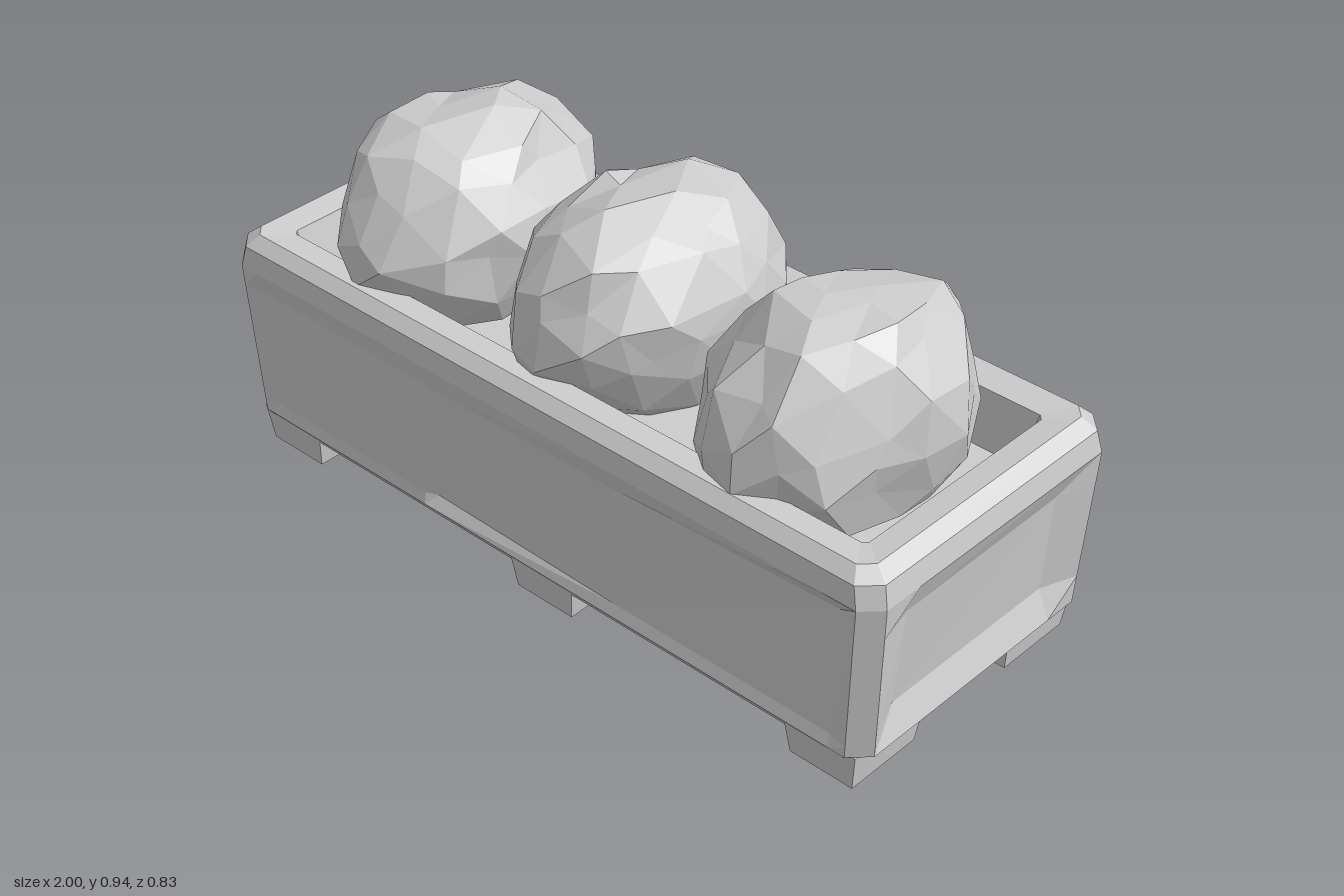
import * as THREE from 'three';

const stone = new THREE.MeshStandardMaterial({ color: 0xcccccc, flatShading: true });
stone.name = 'pale grey';

// Collects quads and triangles into one flat-shaded geometry
function faceBuilder() {
  const pos = [];
  const tri = (a, b, c) => pos.push(...a, ...b, ...c);
  return {
    tri,
    quad(a, b, c, d) { tri(a, b, c); tri(a, c, d); },
    geometry() {
      const g = new THREE.BufferGeometry();
      g.setAttribute('position', new THREE.Float32BufferAttribute(pos, 3));
      g.computeVertexNormals();
      return g;
    },
  };
}

// Point on side k (0 = +x, 1 = -z, 2 = -x, 3 = +z): distance out, offset along, height
function sidePoint(k, out, u, y) {
  const o = [[1, 0], [0, -1], [-1, 0], [0, 1]][k];
  const t = [[0, -1], [-1, 0], [0, 1], [1, 0]][k];
  return [o[0] * out + t[0] * u, y, o[1] * out + t[1] * u];
}

// Rectangle with cut corners
function ring([y, hx, hz, cut]) {
  const pts = [];
  for (let k = 0; k < 4; k++) {
    const [out, along] = k % 2 ? [hz, hx] : [hx, hz];
    pts.push(sidePoint(k, out, -(along - cut), y), sidePoint(k, out, along - cut, y));
  }
  return pts;
}

// Trough: underside, walls, rim, inner walls and soil
const LOW = [0.1, 0.975, 0.397, 0.045], HIGH = [0.52, 0.998, 0.415, 0.045];

function troughGeometry() {
  const f = faceBuilder();
  const rings = [
    [0.068, 0.93, 0.375, 0.03], LOW, HIGH, [0.575, 0.985, 0.408, 0.045],
    [0.603, 0.95, 0.378, 0.03], [0.592, 0.885, 0.305, 0.012], [0.45, 0.845, 0.285, 0.01],
  ].map(ring);
  for (let r = 0; r < rings.length - 1; r++) {
    const a = rings[r], b = rings[r + 1];
    for (let i = 0; i < 8; i++) {
      if (r === 1 && i % 2 === 0) continue; // recessed panels go here
      const j = (i + 1) % 8;
      f.quad(a[i], a[j], b[j], b[i]);
    }
  }
  const bottom = rings[0], soil = rings[rings.length - 1];
  for (let i = 1; i < 7; i++) {
    f.tri(bottom[0], bottom[i + 1], bottom[i]);
    f.tri(soil[0], soil[i], soil[i + 1]);
  }

  // Worn panels: columns are [offset, depth at bottom, depth at top]
  const end = { y: [0.175, 0.44], cols: [[-0.26, 0.035, 0.025], [0.26, 0.035, 0.03]] };
  const front = {
    y: [0.13, 0.46],
    cols: [[-0.9, 0.008, 0.012], [-0.36, 0.008, 0.01], [-0.33, 0.022, 0.01],
      [0.25, 0.012, 0.018], [0.88, 0.012, 0.04]],
  };
  const back = {
    y: [0.15, 0.46],
    cols: [[-0.85, 0.02, 0.012], [-0.45, 0.032, 0.012], [-0.42, 0.012, 0.03],
      [0.1, 0.012, 0.03], [0.2, 0.03, 0.035], [0.88, 0.012, 0.03]],
  };
  [end, back, end, front].forEach((panel, k) => {
    const rows = [LOW[0], ...panel.y, HIGH[0]].map((y, r) => {
      const s = (y - LOW[0]) / (HIGH[0] - LOW[0]);
      const [hx, hz] = [1, 2].map((n) => LOW[n] + (HIGH[n] - LOW[n]) * s);
      const [out, along] = k % 2 ? [hz, hx] : [hx, hz];
      const edge = along - LOW[3];
      return [[-edge, 0, 0], ...panel.cols, [edge, 0, 0]].map(([u, d0, d1], c) => {
        const depth = r === 1 ? d0 : r === 2 ? d1 : 0;
        return sidePoint(k, out - depth, u, y);
      });
    });
    // outer rows are single spans, fanned onto the panel columns
    for (let c = 0; c < rows[0].length - 1; c++) {
      for (let r = 0; r < 3; r++) {
        f.quad(rows[r][c], rows[r][c + 1], rows[r + 1][c + 1], rows[r + 1][c]);
      }
    }
  });
  return f.geometry();
}

// Foot: block that narrows towards the ground
function footGeometry(width, depth) {
  const g = new THREE.BoxGeometry(width, 0.1, depth);
  g.translate(0, 0.05, 0);
  const p = g.attributes.position;
  for (let i = 0; i < p.count; i++) {
    if (p.getY(i) < 0.01) p.setXYZ(i, p.getX(i) * 0.87, 0, p.getZ(i) * 0.9);
  }
  return g;
}

// Repeatable noise from a position, 0 to 1
function hash(x, y, z, seed) {
  const s = Math.sin(x * 127.1 + y * 311.7 + z * 74.7 + seed * 53.3) * 43758.5453;
  return s - Math.floor(s);
}

// Bush: faceted ball with jittered vertices
function bushGeometry(seed) {
  const g = new THREE.IcosahedronGeometry(1, 2);
  const p = g.attributes.position;
  for (let i = 0; i < p.count; i++) {
    const [x, y, z] = [p.getX(i), p.getY(i), p.getZ(i)].map((v) => Math.round(v * 1000) / 1000 + 0);
    const n = (q) => hash(x, y, z, seed + q);
    const v = new THREE.Vector3(x + (n(1) - 0.5) * 0.2, y + (n(2) - 0.5) * 0.2, z + (n(3) - 0.5) * 0.2);
    v.normalize().multiplyScalar(0.88 + 0.16 * Math.sqrt(n(4)));
    p.setXYZ(i, v.x * 0.278, v.y * 0.288, v.z * 0.365);
  }
  g.computeVertexNormals();
  return g;
}

export function createModel() {
  const model = new THREE.Group();
  model.name = 'planter';
  const add = (name, geometry, x = 0, y = 0, z = 0) => {
    const mesh = new THREE.Mesh(geometry, stone);
    mesh.name = name;
    mesh.position.set(x, y, z);
    model.add(mesh);
  };

  add('trough', troughGeometry());

  // Three pairs of feet
  for (const side of [-1, 1]) {
    for (const x of [-0.85, 0.015, 0.85]) {
      add('foot', footGeometry(0.2, 0.235), x, 0, side * 0.268);
    }
  }

  // Row of bushes
  [[-0.59, 0.655, 0], [-0.015, 0.667, -0.015], [0.575, 0.658, 0.01]].forEach(([x, y, z], i) => {
    add('bush', bushGeometry(i * 7 + 3), x, y, z);
  });
  return model;
}
